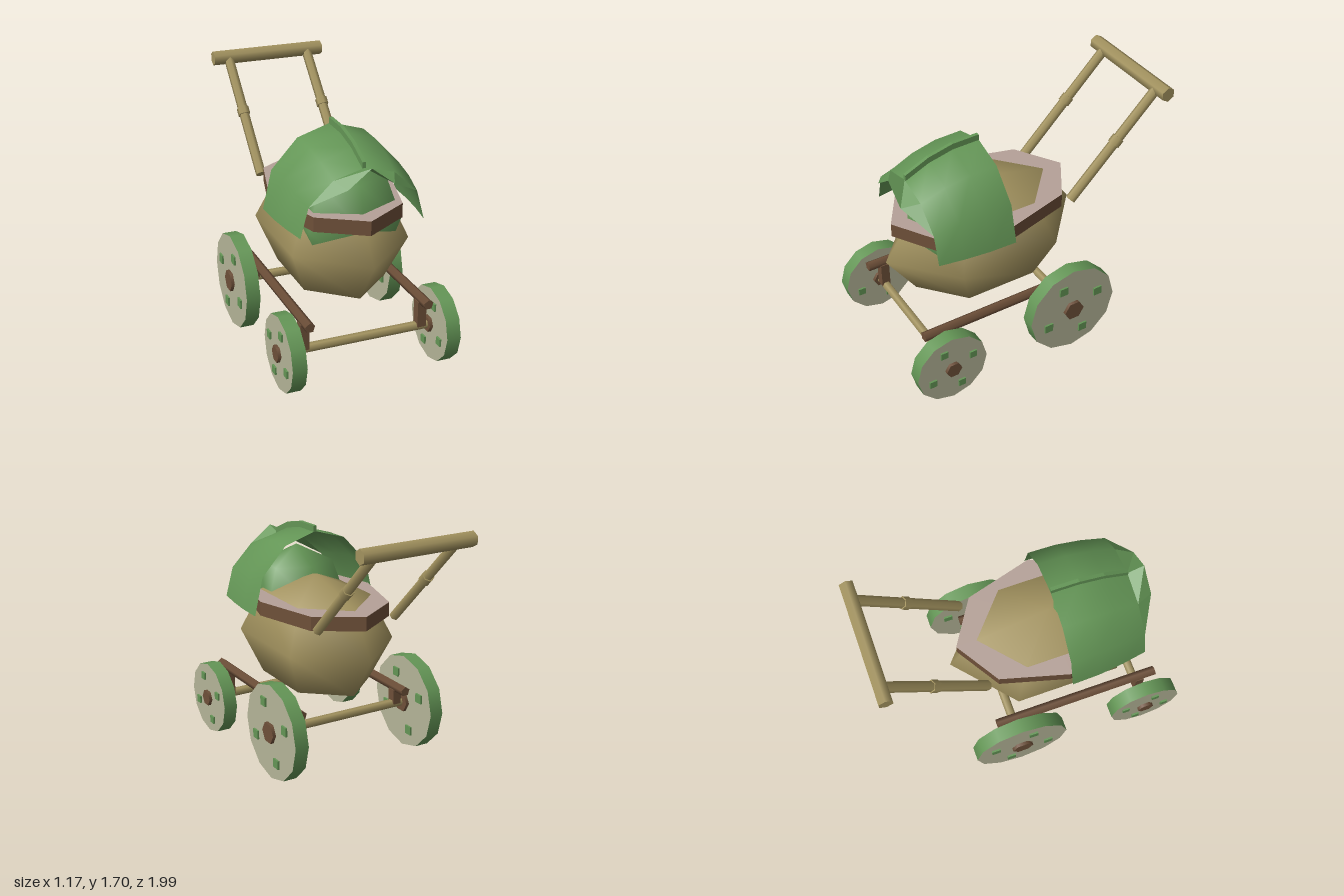
import * as THREE from 'three';

export function createModel() {
  const root = new THREE.Group();
  root.name = 'babyCarriage';

  const mat = (name, color, extra = {}) => {
    const m = new THREE.MeshStandardMaterial({ color, ...extra });
    m.name = name;
    return m;
  };
  const green = mat('leafGreen', 0x649656, { side: THREE.DoubleSide });
  const tan = mat('shellTan', 0xa3935f);
  const brown = mat('woodBrown', 0x6e5039);
  const cream = mat('wheelCream', 0xb5b598);
  const pink = mat('liningPink', 0xb5a198);

  const add = (name, geo, material, x, y, z, parent = root) => {
    const m = new THREE.Mesh(geo, material);
    m.name = name;
    m.position.set(x, y, z);
    parent.add(m);
    return m;
  };
  // cylinder lying along x, first corner pointing to +z
  const barX = (r, len, sides) => new THREE.CylinderGeometry(r, r, len, sides).rotateZ(Math.PI / 2);

  // six-sided shell body and the cushion inside the hood
  add('body', new THREE.SphereGeometry(1, 6, 4).rotateY(Math.PI / 2).scale(0.456, 0.42, 0.69), tan, 0, 0.79, 0.215);
  add('cushion', new THREE.SphereGeometry(1, 6, 4).rotateY(Math.PI / 2).scale(0.36, 0.4, 0.3), green, 0, 0.96, 0.47);

  // octagonal rim with a lined top
  const rimGeo = new THREE.CylinderGeometry(1, 1, 0.095, 8).toNonIndexed().scale(0.42, 1, 0.633);
  rimGeo.computeVertexNormals();
  add('rim', rimGeo, [brown, pink, brown], 0, 1.032, 0.217);

  // hood: one arch repeated along z, shrinking towards the front
  const arch = [[0.46, 0], [0.4, 0.255], [0.225, 0.445], [0, 0.515], [-0.225, 0.445], [-0.4, 0.255], [-0.46, 0]];
  const stations = [[0.215, 1, 1.5], [0.4, 0.99, 1.495], [0.57, 0.95, 1.455], [0.735, 0.89, 1.38]];
  const base = 0.985;
  const sections = stations.map(([z, s, top]) =>
    arch.map(([x, h]) => [x * s, base + h * (top - base) / 0.515, z]));

  // skins a list of equal-length point rows
  const skin = (rows) => {
    const n = rows[0].length, index = [];
    for (let r = 0; r < rows.length - 1; r++) {
      for (let i = 0; i < n - 1; i++) {
        const a = r * n + i, b = a + n;
        index.push(a, b, a + 1, a + 1, b, b + 1);
      }
    }
    const g = new THREE.BufferGeometry();
    g.setAttribute('position', new THREE.Float32BufferAttribute(rows.flat(2), 3));
    g.setIndex(index);
    g.computeVertexNormals();
    return g;
  };
  add('hood', skin(sections), green, 0, 0, 0);

  // upturned flap on the front edge of the hood
  const edge = sections[3].slice(1, 6);
  const lip = [edge[0], [0.15, 1.3, 0.845], [0, 1.415, 0.845], [-0.15, 1.3, 0.845], edge[4]];
  const flapGeo = skin([edge, lip]).toNonIndexed();
  flapGeo.computeVertexNormals();
  add('hoodFlap', flapGeo, green, 0, 0, 0);

  // raised rib along the crown of the hood
  const rib = new THREE.Shape();
  stations.forEach(([z, , top], i) => (i ? rib.lineTo(z, top + 0.037) : rib.moveTo(z, top + 0.037)));
  [...stations].reverse().forEach(([z, , top]) => rib.lineTo(z, top - 0.005));
  const ribGeo = new THREE.ExtrudeGeometry(rib, { depth: 0.024, bevelEnabled: false });
  ribGeo.translate(0, 0, -0.012).rotateY(-Math.PI / 2);
  add('hoodRib', ribGeo, green, 0, 0, 0);

  // push handle
  add('handleBar', barX(0.05, 0.8, 6).rotateX(Math.PI / 2), tan, 0, 1.65, -0.95);
  for (const s of [1, -1]) {
    const arm = new THREE.Group();
    arm.name = s > 0 ? 'leftHandleArm' : 'rightHandleArm';
    arm.position.set(s * 0.29, 1.325, -0.62);
    arm.rotation.x = -Math.PI / 4;
    root.add(arm);
    add('armRod', new THREE.CylinderGeometry(0.034, 0.034, 0.9, 6), tan, 0, 0, 0, arm);
    add('armCollar', new THREE.CylinderGeometry(0.042, 0.042, 0.055, 6), tan, 0, 0.03, 0, arm);

    // side rail of the chassis
    add('rail', new THREE.CylinderGeometry(0.034, 0.034, 1.155, 5).rotateX(-Math.PI / 2), brown, s * 0.4, 0.447, 0.287);
  }

  // wheels, axles and struts
  const axles = [
    { name: 'front', z: 0.75, r: 0.25, hub: 0.056, peg: 0.05, a: 0.06, b: 0.147 },
    { name: 'rear', z: -0.165, r: 0.325, hub: 0.073, peg: 0.06, a: 0.08, b: 0.19 },
  ];
  for (const w of axles) {
    add(w.name + 'Axle', barX(0.03, 0.96, 6), tan, 0, w.r, w.z);
    for (const s of [1, -1]) {
      const h = 0.43 - w.r;
      add(w.name + 'Strut', new THREE.BoxGeometry(0.06, h, 0.06), brown, s * 0.4, w.r + h / 2, w.z);
      const wheel = new THREE.Group();
      wheel.name = w.name + (s > 0 ? 'LeftWheel' : 'RightWheel');
      wheel.position.set(s * 0.517, w.r, w.z);
      root.add(wheel);
      add('tyre', barX(w.r, 0.095, 12), [green, cream, cream], 0, 0, 0, wheel);
      add('hub', barX(w.hub, 0.14, 6), brown, 0, 0, 0, wheel);
      for (const [y, z] of [[w.b, w.a], [w.a, -w.b], [-w.b, -w.a], [-w.a, w.b]]) {
        add('peg', new THREE.BoxGeometry(0.12, w.peg, w.peg), green, 0, y, z, wheel);
      }
    }
  }
  return root;
}
